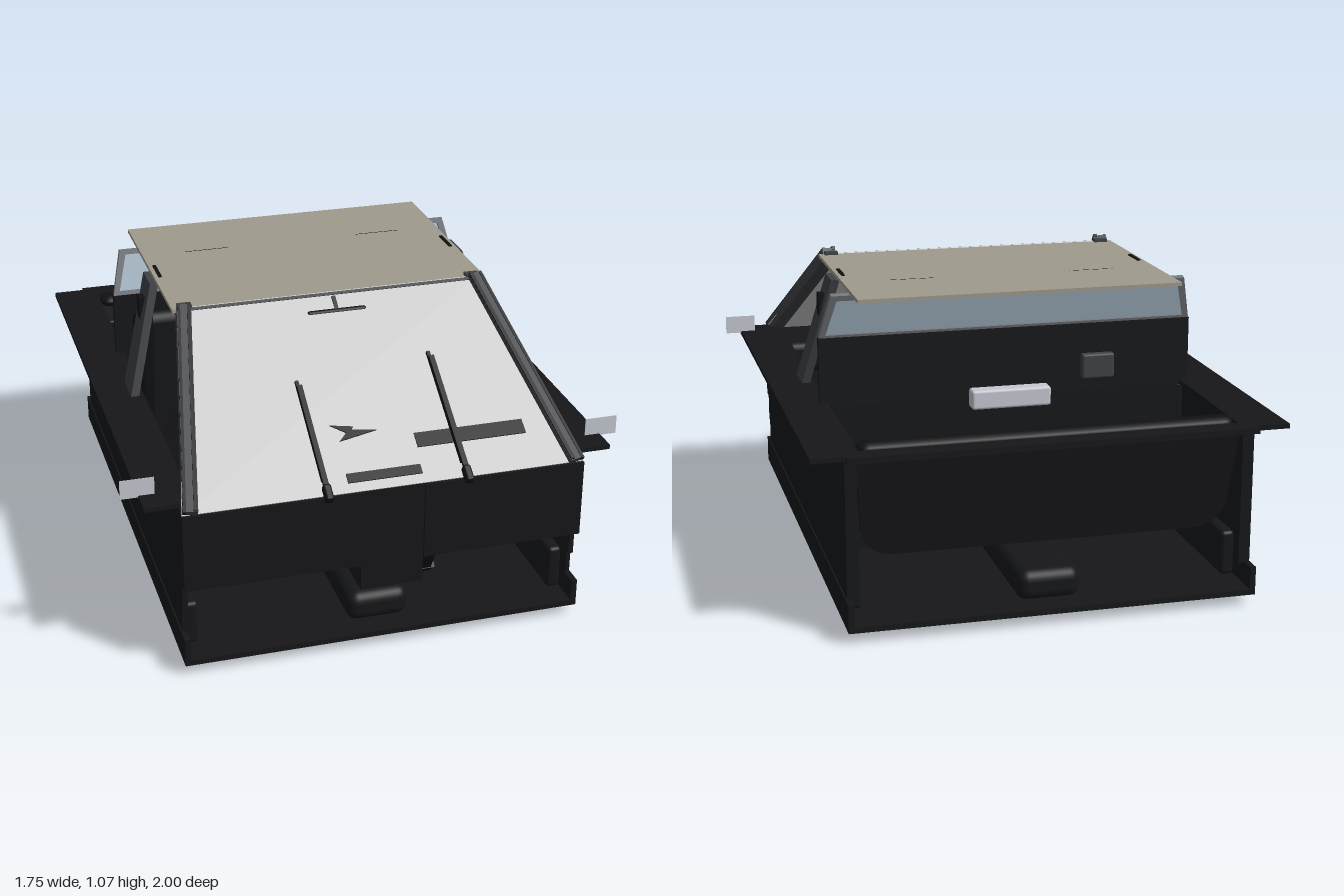
import * as THREE from 'three';
import { RoundedBoxGeometry } from 'three/addons/geometries/RoundedBoxGeometry.js';

const mat = (color) => new THREE.MeshStandardMaterial({ color, side: THREE.DoubleSide });
const black = mat(0x16171a), trim = mat(0x101113), pillar = mat(0x404246), glass = mat(0xc4c4c4),
  cream = mat(0xa09a8d), blue = mat(0xa9bccb), silver = mat(0xc6c9d2);
const UP = new THREE.Vector3(0, 1, 0);

export function createModel() {
  const root = new THREE.Group();

  const add = (name, geo, m, parent = root) => {
    const mesh = new THREE.Mesh(geo, m);
    mesh.name = name;
    parent.add(mesh);
    return mesh;
  };
  // Box given by its limits on each axis; r rounds the edges
  const box = (name, x0, x1, y0, y1, z0, z1, m = black, parent = root, r = 0) => {
    const s = [x1 - x0, y1 - y0, z1 - z0];
    const mesh = add(name, r ? new RoundedBoxGeometry(...s, 3, r) : new THREE.BoxGeometry(...s), m, parent);
    mesh.position.set((x0 + x1) / 2, (y0 + y1) / 2, (z0 + z1) / 2);
    return mesh;
  };
  // Beam of section w x d between two points, in the parent's own space
  const beam = (name, a, b, w, d, m, parent = root) => {
    const p = new THREE.Vector3(...a), q = new THREE.Vector3(...b);
    const mesh = add(name, new THREE.BoxGeometry(w, d, p.distanceTo(q)), m, parent);
    mesh.quaternion.setFromRotationMatrix(new THREE.Matrix4().lookAt(q, p, UP));
    mesh.position.copy(p).lerp(q, 0.5);
    return mesh;
  };
  const poly = (pts) => new THREE.Shape(pts.map((p) => new THREE.Vector2(...p)));
  const plate = (name, shape, depth, m, parent = root) =>
    add(name, new THREE.ExtrudeGeometry(shape, { depth, bevelEnabled: false, curveSegments: 8 }), m, parent);
  const trapezoid = (bottom, top, y0, y1) => poly([[-bottom, y0], [bottom, y0], [top, y1], [-top, y1]]);

  // Floor tub
  box('floor', -0.7, 0.7, 0.04, 0.06, -1, 0.94);
  box('tunnel', -0.11, 0.11, 0.05, 0.16, -0.91, 0.86, black, root, 0.04);
  for (const s of [1, -1]) {
    const side = (name, x0, x1, ...rest) => box(name, Math.min(s * x0, s * x1), Math.max(s * x0, s * x1), ...rest);
    side('sill', 0.685, 0.705, 0.04, 0.14, -1, 0.94);
    side('sideWall', 0.685, 0.7, 0.14, 0.625, -0.95, 0.88);
    side('innerSill', 0.635, 0.685, 0.06, 0.22, -0.85, 0.84, black, root, 0.015);
    side('doorCard', 0.655, 0.685, 0.34, 0.61, -0.3, 0.8, black, root, 0.01);
    side('sideLedge', 0.65, 0.815, 0.62, 0.636, -0.98, 0.89);
    side('wingMirror', 0.76, 0.876, 0.63, 0.698, 0.799, 0.801, silver);

    // Seat
    const seat = new THREE.Group();
    seat.name = 'seat';
    root.add(seat);
    seat.position.x = s * 0.38;
    box('seatBase', -0.24, 0.24, 0.075, 0.23, -0.15, 0.3, black, seat, 0.02);
    box('seatCushion', -0.28, 0.28, 0.22, 0.335, -0.2, 0.36, trim, seat, 0.05);
    const back = box('seatBack', -0.24, 0.24, 0.28, 0.83, -0.3, -0.19, trim, seat, 0.045);
    back.rotation.x = -0.12;
    back.position.z = -0.235;
    box('headrest', -0.12, 0.12, 0.9, 1.03, -0.3, -0.195, trim, seat, 0.04);
    for (const x of [-0.06, 0.06])
      beam('headrestPost', [x, 0.8, -0.235], [x, 0.93, -0.25], 0.012, 0.012, pillar, seat);

    // Middle pillar, a blade leaning inward to the roof
    const blade = poly([[-0.07, 0.63], [0.06, 0.63], [0.145, 1.03], [0.02, 1.03]]);
    const mid = plate('middlePillar', blade, 0.03, pillar);
    mid.rotation.y = Math.PI / 2;
    mid.position.x = s * 0.64 - 0.015;
    const pos = mid.geometry.attributes.position;
    for (let i = 0; i < pos.count; i++)
      pos.setZ(i, pos.getZ(i) + s * (0.045 - (pos.getY(i) - 0.63) * 0.26));
    mid.geometry.computeVertexNormals();
    side('beltAnchor', 0.605, 0.635, 0.89, 0.97, -0.085, -0.045, trim);
    beam('seatBelt', [s * 0.6, 0.9, -0.06], [s * 0.6, 0.3, -0.12], 0.035, 0.006, trim);
    side('grabHandle', 0.548, 0.56, 1.04, 1.05, -0.15, -0.04, trim);
    side('sunVisor', 0.12, 0.48, 1.016, 1.024, 0.11, 0.23, pillar);
    side('roofSlot', 0.25, 0.415, 1.04, 1.0455, -0.262, -0.259, trim);
    side('dashEnd', 0.682, 0.7, 0.23, 0.62, 0.86, 0.9);
    side('rearPost', 0.66, 0.7, 0.14, 0.62, -0.95, -0.93);
    side('roofCorner', 0.505, 0.555, 1.03, 1.056, 0.235, 0.265, pillar);
  }

  // Dashboard
  box('dashPanel', -0.7, -0.09, 0.33, 0.61, 0.78, 0.94);
  box('dashPanel', 0.13, 0.7, 0.33, 0.61, 0.78, 0.94);
  box('centreConsole', -0.09, 0.13, 0.23, 0.61, 0.72, 0.93);
  box('dashTop', -0.66, 0.66, 0.5, 0.62, 0.6, 0.92, black, root, 0.03);
  box('instrumentHood', 0.2, 0.54, 0.6, 0.68, 0.64, 0.71, trim, root, 0.03);

  // Steering wheel and column
  const wheel = new THREE.Group();
  wheel.name = 'steeringWheel';
  wheel.position.set(0.37, 0.61, 0.59);
  wheel.rotation.x = 0.4;
  root.add(wheel);
  add('wheelRim', new THREE.TorusGeometry(0.13, 0.014, 8, 32), trim, wheel);
  add('wheelHub', new THREE.SphereGeometry(0.04, 16, 10), trim, wheel);
  for (let i = 0; i < 3; i++) {
    const a = i * Math.PI * 2 / 3 - Math.PI / 2;
    beam('wheelSpoke', [0, 0, 0], [0.13 * Math.cos(a), 0.13 * Math.sin(a), 0], 0.02, 0.02, trim, wheel);
  }
  beam('steeringColumn', [0.37, 0.61, 0.59], [0.37, 0.52, 0.78], 0.05, 0.05, trim);

  // Gear lever and pedals
  beam('gearLever', [0, 0.15, 0.42], [0, 0.64, 0.47], 0.018, 0.018, trim);
  add('gearKnob', new THREE.SphereGeometry(0.026, 16, 10), trim).position.set(0, 0.645, 0.47);
  beam('accelerator', [0.24, 0.01, 0.53], [0.24, 0.1, 0.64], 0.08, 0.02, trim);
  beam('acceleratorArm', [0.24, 0.08, 0.62], [0.24, 0.34, 0.76], 0.05, 0.03, trim);
  for (const x of [0.41, 0.48]) {
    beam('pedal', [x, 0.13, 0.57], [x, 0.19, 0.61], 0.08, 0.02, trim);
    beam('pedalArm', [x, 0.16, 0.6], [x, 0.36, 0.78], 0.02, 0.02, trim);
  }

  // Windscreen: local y runs up the glass, local z points outward
  const screen = new THREE.Group();
  screen.name = 'windscreen';
  screen.position.set(0, 0.61, 0.93);
  screen.rotation.x = -Math.atan2(0.68, 0.44);
  root.add(screen);
  plate('windscreenGlass', trapezoid(0.7, 0.55, 0, 0.8), 0.004, glass, screen);
  for (const s of [1, -1]) {
    beam('frontPillar', [s * 0.672, 0, 0], [s * 0.535, 0.8, 0], 0.05, 0.05, pillar, screen);
    beam('pillarTrim', [s * 0.655, 0, 0.025], [s * 0.517, 0.8, 0.025], 0.012, 0.014, trim, screen);
    beam('pillarTrim', [s * 0.692, 0, 0.02], [s * 0.553, 0.8, 0.02], 0.016, 0.01, trim, screen);
  }
  beam('topRail', [-0.54, 0.79, 0], [0.54, 0.79, 0], 0.012, 0.012, pillar, screen);
  box('glassStrip', 0.14, 0.53, 0.135, 0.19, 0.003, 0.008, trim, screen);
  box('glassStrip', -0.13, 0.13, 0.035, 0.07, 0.003, 0.008, trim, screen);
  const marker = poly([[-0.14, 0.26], [-0.06, 0.245], [-0.07, 0.235], [0.015, 0.221], [-0.12, 0.195], [-0.09, 0.225]]);
  plate('glassMarker', marker, 0.008, trim, screen);
  // Wipers
  for (const [x, top] of [[-0.22, 0.43], [0.265, 0.485]]) {
    box('wiperBlade', x - 0.006, x + 0.006, 0.04, top, 0.03, 0.042, trim, screen);
    box('wiperArm', x - 0.009, x + 0.009, -0.02, top - 0.03, 0.05, 0.062, trim, screen);
    box('wiperPivot', x - 0.014, x + 0.014, -0.045, 0.015, 0.035, 0.068, trim, screen, 0.008);
    for (let i = 0; i < 4; i++)
      box('wiperClip', x - 0.007, x + 0.007, 0.08 + i * 0.1, 0.1 + i * 0.1, 0.035, 0.055, trim, screen);
  }
  // Rear-view mirror
  box('rearViewMirror', -0.11, 0.11, 0.982, 1.008, 0.31, 0.336, trim, root, 0.011);
  beam('mirrorStem', [0, 1, 0.325], [0, 1.035, 0.28], 0.014, 0.014, trim);

  // Roof panel
  box('roof', -0.575, 0.575, 1.032, 1.045, -0.55, 0.265, cream);

  // Bulkhead and rear window behind the seats
  box('bulkhead', -0.68, 0.68, 0.62, 0.87, -0.35, -0.325);
  box('bulkheadLower', -0.64, 0.64, 0.085, 0.63, -0.355, -0.325);
  const rear = new THREE.Group();
  rear.name = 'rearWindow';
  rear.position.set(0, 0.86, -0.345);
  rear.rotation.x = -0.3;
  root.add(rear);
  const frame = trapezoid(0.68, 0.64, 0, 0.175);
  frame.holes.push(trapezoid(0.655, 0.62, 0.02, 0.155));
  plate('rearWindowFrame', frame, 0.02, mat(0x73767b), rear);
  plate('rearWindowGlass', trapezoid(0.655, 0.62, 0.02, 0.155), 0.004, blue, rear).position.z = 0.008;
  box('bulkheadLamp', -0.145, 0.145, 0.59, 0.66, -0.41, -0.35, silver, root, 0.01);
  box('bulkheadVent', -0.39, -0.27, 0.67, 0.76, -0.38, -0.345, pillar, root, 0.008);

  // Rear shelf and rim
  box('rearShelf', -0.64, 0.64, 0.3, 0.32, -0.74, -0.35);
  box('rearShelfBar', -0.64, 0.64, 0.56, 0.59, -0.765, -0.735, black, root, 0.01);
  box('rearRim', -0.7, 0.7, 0.615, 0.636, -1, -0.925);
  const roll = add('rearRoll', new THREE.CapsuleGeometry(0.04, 1.22, 6, 16), trim);
  roll.rotation.z = Math.PI / 2;
  roll.scale.x = 0.6;
  roll.position.set(0, 0.627, -0.87);

  // Tail panel, hung from the rim and leaning inward at its foot
  const tail = new THREE.Shape();
  tail.moveTo(-0.66, 0);
  tail.lineTo(-0.64, -0.26);
  tail.quadraticCurveTo(-0.63, -0.38, -0.52, -0.38);
  tail.lineTo(0.52, -0.38);
  tail.quadraticCurveTo(0.63, -0.38, 0.64, -0.26);
  tail.lineTo(0.66, 0);
  const tailPanel = plate('tailPanel', tail, 0.02, black);
  tailPanel.position.set(0, 0.62, -0.93);
  tailPanel.rotation.x = -0.2;

  return root;
}
